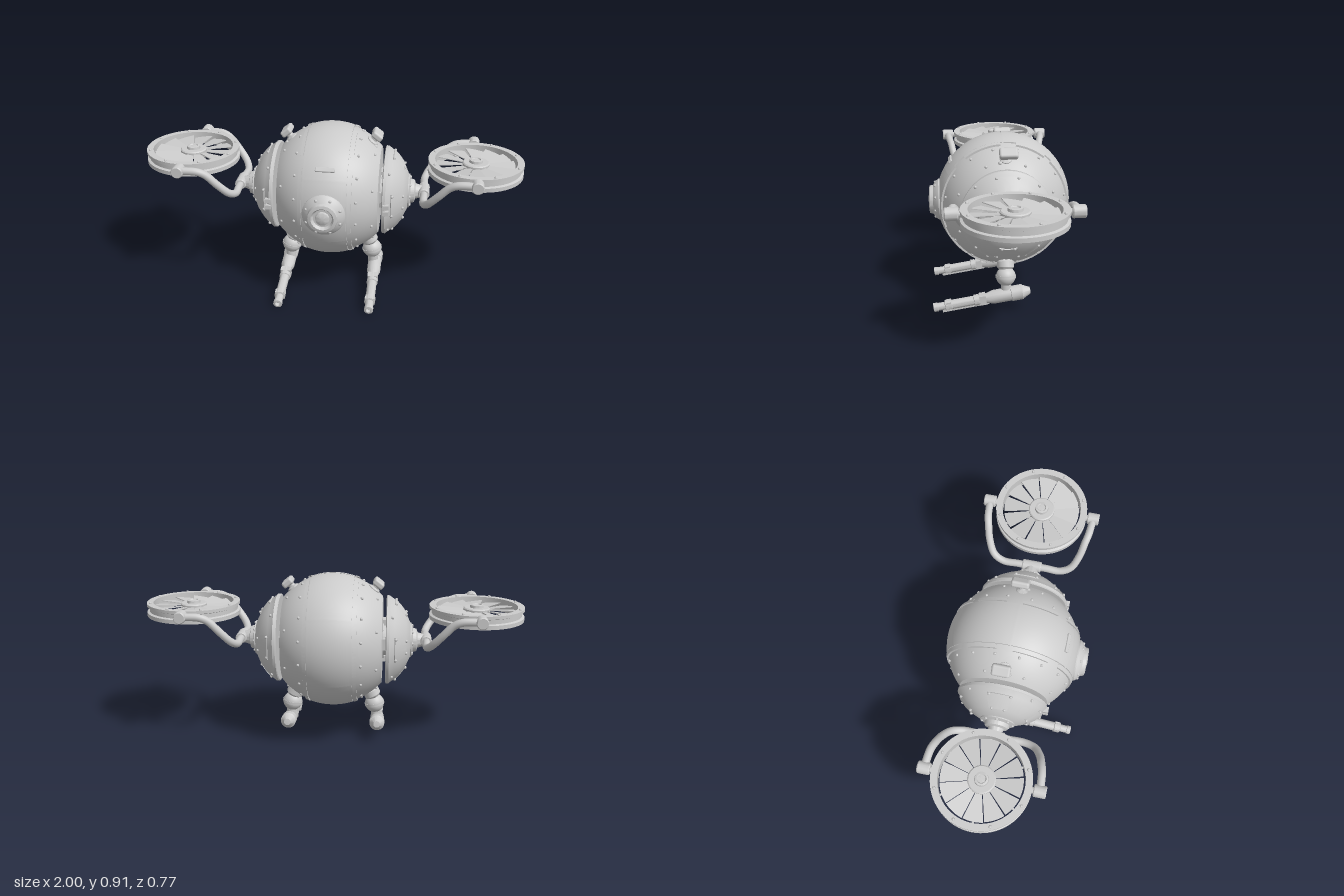
import * as THREE from 'three';
import { toCreasedNormals } from 'three/addons/utils/BufferGeometryUtils.js';
import { RoundedBoxGeometry } from 'three/addons/geometries/RoundedBoxGeometry.js';

const mat = new THREE.MeshStandardMaterial({ color: 0xcccccc, side: THREE.DoubleSide });

function add(parent, name, geo, x = 0, y = 0, z = 0) {
  const m = new THREE.Mesh(geo, mat);
  m.name = name;
  m.position.set(x, y, z);
  parent.add(m);
  return m;
}

// Profile of [radius, height] pairs turned around the y axis
function lathe(pts, seg = 48, start = 0, len = Math.PI * 2) {
  const g = new THREE.LatheGeometry(pts.map(p => new THREE.Vector2(p[0], p[1])), seg, start, len);
  return toCreasedNormals(g, 0.5);
}
// Same, turned around the x axis; angles run from the front upwards
const latheX = (pts, a0 = 0, a1 = Math.PI * 2, seg = 64) =>
  lathe(pts, seg, -a1, a1 - a0).rotateZ(-Math.PI / 2);

// Closed band of a sphere of radius R, between x0 and x1
function band(R, x0, x1, inner = 0.34, n = 16) {
  const pts = [];
  const r = (rad, x) => Math.sqrt(Math.max(rad * rad - x * x, 0));
  pts.push([r(inner, x0), x0]);
  for (let i = 0; i <= n; i++) {
    const x = x0 + (x1 - x0) * i / n;
    pts.push([r(R, x), x]);
  }
  pts.push([r(inner, x1), x1]);
  return pts;
}

const rad = d => d * Math.PI / 180;
const boltGeo = new THREE.SphereGeometry(0.008, 8, 6);
// Bolt at distance r from the x axis, at angle a from the front
const boltX = (parent, x, r, a) => add(parent, 'bolt', boltGeo, x, r * Math.sin(a), r * Math.cos(a));

function makeBody() {
  const g = new THREE.Group();
  g.name = 'body';
  const shell = band(0.35, -0.262, 0.262, 0.35, 40);
  add(g, 'shell', latheX([[0, -0.265], [0.2, -0.265], ...shell, [0.2, 0.265], [0, 0.265]], 0, Math.PI * 2, 80));

  // Raised panels of the central band, with seams between them
  for (const [a0, a1] of [[-78, -30], [-29, 29], [30, 88], [89, 149], [150, 209], [210, 281]])
    add(g, 'bandPanel', latheX(band(0.356, -0.112, 0.112), rad(a0), rad(a1), 20));

  // Seam straps and bolts on both sides of the central band
  for (const s of [-1, 1]) {
    for (const [a0, a1] of [[52, 86], [100, 128], [135, 172], [176, 200], [205, 262], [-78, -55], [-52, -32], [-20, 40]])
      add(g, 'seamStrap', latheX(band(0.359, s * 0.127 - 0.009, s * 0.127 + 0.009, 0.34, 2), rad(a0), rad(a1), 20));
    for (let i = 0; i < 16; i++)
      boltX(g, s * 0.158, 0.313, rad(11 + i * 22.5));
    for (let i = 0; i < 8; i++)
      boltX(g, s * 0.235, 0.26, rad(22 + i * 45));
  }

  // Slot above the lens
  const slot = add(g, 'slot', new RoundedBoxGeometry(0.1, 0.024, 0.014, 2, 0.005), 0, 0.22, 0.28);
  slot.rotation.x = -0.66;

  // Front lens
  const lens = [[0.11, 0.3], [0.11, 0.345], [0.1, 0.358], [0.078, 0.374], [0.074, 0.392], [0.058, 0.396],
    [0.048, 0.38], [0.036, 0.38], [0.034, 0.392], [0.02, 0.398], [0, 0.4]];
  add(g, 'lens', lathe(lens).rotateX(Math.PI / 2));
  for (let i = 0; i < 8; i++) {
    const a = rad(22.5 + i * 45);
    add(g, 'lensBolt', boltGeo, 0.093 * Math.cos(a), 0.093 * Math.sin(a), 0.362);
  }
  return g;
}

function makeSide() {
  const g = new THREE.Group();
  g.name = 'side';

  // Axle and domed side dish
  add(g, 'axle', latheX([[0.1, 0.24], [0.1, 0.27], [0.085, 0.27], [0.085, 0.3]]));
  const dome = [[0.232, 0.303], [0.215, 0.327], [0.185, 0.356], [0.145, 0.386], [0.09, 0.412]];
  add(g, 'dish', latheX([[0, 0.286], [0.23, 0.282], [0.236, 0.286], [0.236, 0.3], ...dome, [0, 0.412]]));
  const raised = dome.slice(1).map(([r, x]) => [r + 0.003, x + 0.004]);
  for (let i = 0; i < 4; i++) {
    const a = i * Math.PI / 2;
    add(g, 'dishPanel', latheX([[0.21, 0.322], ...raised.slice(0, 3), [0.14, 0.382]], a - 0.31, a + 0.31, 10));
    for (const s of [-1, 1]) {
      boltX(g, 0.334, 0.214, a + s * 0.26);
      boltX(g, 0.388, 0.15, a + s * 0.22);
    }
    boltX(g, 0.315, 0.226, a + Math.PI / 4);
    // Blocks around the axle
    const b = add(g, 'axleBlock', new THREE.BoxGeometry(0.035, 0.06, 0.03),
      0.272, 0.1 * Math.sin(a), 0.1 * Math.cos(a));
    b.rotation.x = -a;
  }
  for (const y of [-0.025, 0.01])
    add(g, 'dishLatch', new THREE.BoxGeometry(0.03, 0.022, 0.03), 0.305, y, 0.232);

  // Stepped hub
  add(g, 'hub', latheX([[0.092, 0.405], [0.092, 0.417], [0.066, 0.424], [0.06, 0.444],
    [0.042, 0.45], [0.036, 0.468], [0.03, 0.49], [0, 0.49]]));
  for (let i = 0; i < 8; i++) boltX(g, 0.42, 0.08, i * Math.PI / 4);

  // Yoke that carries the rotor
  const half = [[0.495, 0.005, 0.08], [0.495, 0.005, 0.16], [0.515, 0.03, 0.215], [0.565, 0.09, 0.25],
    [0.62, 0.15, 0.267], [0.66, 0.17, 0.277], [0.75, 0.175, 0.285]];
  const path = [...half.map(([x, y, z]) => [x, y, -z]).reverse(), [0.495, 0.005, 0], ...half];
  const curve = new THREE.CatmullRomCurve3(path.map(p => new THREE.Vector3(...p)), false, 'centripetal');
  add(g, 'yoke', new THREE.TubeGeometry(curve, 100, 0.02, 14));
  add(g, 'yokeBarrel', lathe([[0, -0.053], [0.026, -0.053], [0.03, -0.047], [0.03, 0.047],
    [0.026, 0.053], [0, 0.053]], 24).rotateX(Math.PI / 2), 0.495, 0.005, 0);
  for (const s of [-1, 1]) {
    add(g, 'yokeCap', lathe([[0, -0.032], [0.027, -0.032], [0.031, -0.027], [0.031, 0.027],
      [0.027, 0.032], [0, 0.032]], 24).rotateX(Math.PI / 2), 0.755, 0.175, s * 0.285);
    add(g, 'yokePin', new THREE.CylinderGeometry(0.016, 0.016, 0.05, 12).rotateX(Math.PI / 2), 0.755, 0.175, s * 0.245);
  }

  const rotor = makeRotor();
  rotor.position.set(0.755, 0.163, 0);
  g.add(rotor);

  // Antenna on the upper shell
  const antenna = new THREE.Group();
  antenna.name = 'antenna';
  antenna.rotation.z = -0.66;
  add(antenna, 'antennaBase', lathe([[0.032, 0.325], [0.032, 0.353], [0.018, 0.36], [0.018, 0.39]], 20));
  add(antenna, 'antennaHead', new RoundedBoxGeometry(0.06, 0.036, 0.095, 3, 0.012), 0, 0.39, -0.012);
  add(antenna, 'antennaKnob', new THREE.SphereGeometry(0.011, 10, 8), 0.026, 0.345, 0.03);
  g.add(antenna);

  g.add(makeGun());
  return g;
}

function makeRotor() {
  const g = new THREE.Group();
  g.name = 'rotor';
  // Grooved ring
  add(g, 'ring', lathe([[0.212, -0.037], [0.247, -0.037], [0.247, -0.016], [0.234, -0.011], [0.234, 0.011],
    [0.247, 0.016], [0.247, 0.032], [0.212, 0.032], [0.212, -0.037]], 72));
  // Pitched fan blades
  const a = 0.25;
  const shape = new THREE.Shape();
  shape.moveTo(0.05, -0.012);
  shape.lineTo(0.203 * Math.cos(a), -0.203 * Math.sin(a));
  shape.absarc(0, 0, 0.203, -a, a, false);
  shape.lineTo(0.05, 0.012);
  const blade = new THREE.ExtrudeGeometry(shape, { depth: 0.004, bevelEnabled: false, curveSegments: 6 });
  blade.rotateX(-Math.PI / 2 + 0.16);
  for (let i = 0; i < 12; i++)
    add(g, 'blade', blade, 0, 0.005, 0).rotation.y = i * Math.PI / 6;
  // Hub
  add(g, 'rotorHub', lathe([[0, -0.03], [0.035, -0.03], [0.038, -0.014], [0.07, -0.012], [0.07, 0.018],
    [0.064, 0.023], [0.036, 0.023], [0.034, 0.036], [0.024, 0.038], [0.02, 0.032], [0, 0.032]], 32));
  // Thin struts and ring bolts
  for (let i = 0; i < 3; i++)
    add(g, 'strut', new THREE.BoxGeometry(0.43, 0.008, 0.01), 0, -0.024, 0).rotation.y = i * Math.PI / 3;
  for (let i = 0; i < 8; i++) {
    const t = (i + 0.5) * Math.PI / 4;
    add(g, 'ringBolt', boltGeo, 0.23 * Math.cos(t), 0.033, 0.23 * Math.sin(t));
  }
  return g;
}

function makeGun() {
  const g = new THREE.Group();
  g.name = 'gunArm';
  // Shoulder collar, ball and neck
  const collar = add(g, 'collar', lathe([[0.034, -0.03], [0.045, -0.018], [0.045, 0.012], [0.036, 0.02], [0.036, 0.06]], 24),
    0.208, -0.3, 0);
  collar.rotation.z = 0.45;
  add(g, 'ballJoint', new THREE.SphereGeometry(0.052, 28, 20), 0.226, -0.363, 0);
  add(g, 'ballBand', new THREE.CylinderGeometry(0.054, 0.054, 0.014, 28), 0.226, -0.363, 0).rotation.z = 0.2;
  add(g, 'neck', new THREE.CylinderGeometry(0.026, 0.028, 0.06, 20), 0.234, -0.42, 0);

  // Barrel, pointing forward and slightly down
  const gun = new THREE.Group();
  gun.name = 'gun';
  gun.position.set(0.242, -0.462, 0);
  gun.rotation.x = 0.165;
  add(gun, 'barrel', lathe([[0, -0.132], [0.018, -0.13], [0.036, -0.092], [0.041, -0.088], [0.041, -0.03],
    [0.037, -0.028], [0.037, 0.07], [0.026, 0.105], [0.026, 0.145], [0.03, 0.147], [0.03, 0.17], [0.025, 0.172],
    [0.025, 0.29], [0.029, 0.292], [0.029, 0.325], [0.021, 0.328], [0.021, 0.365], [0.024, 0.367],
    [0.024, 0.388], [0.014, 0.39], [0.012, 0.37], [0, 0.37]], 20).rotateX(Math.PI / 2));
  add(gun, 'barrelRail', new THREE.BoxGeometry(0.022, 0.02, 0.25), 0, -0.022, 0.22);
  add(gun, 'barrelBlock', new THREE.BoxGeometry(0.056, 0.05, 0.035), 0, 0, 0.125);
  add(gun, 'barrelBlock', new THREE.BoxGeometry(0.05, 0.046, 0.03), 0, 0, 0.308);
  g.add(gun);
  return g;
}

export function createModel() {
  const model = new THREE.Group();
  model.name = 'flyingDrone';
  const drone = new THREE.Group();
  drone.name = 'drone';
  drone.position.set(0, 0.566, -0.015);
  drone.rotation.y = 0.07;
  drone.add(makeBody());
  // Left side and its mirror image
  const left = makeSide();
  left.name = 'leftSide';
  const right = makeSide();
  right.name = 'rightSide';
  right.scale.x = -1;
  drone.add(left, right);
  model.add(drone);
  return model;
}
